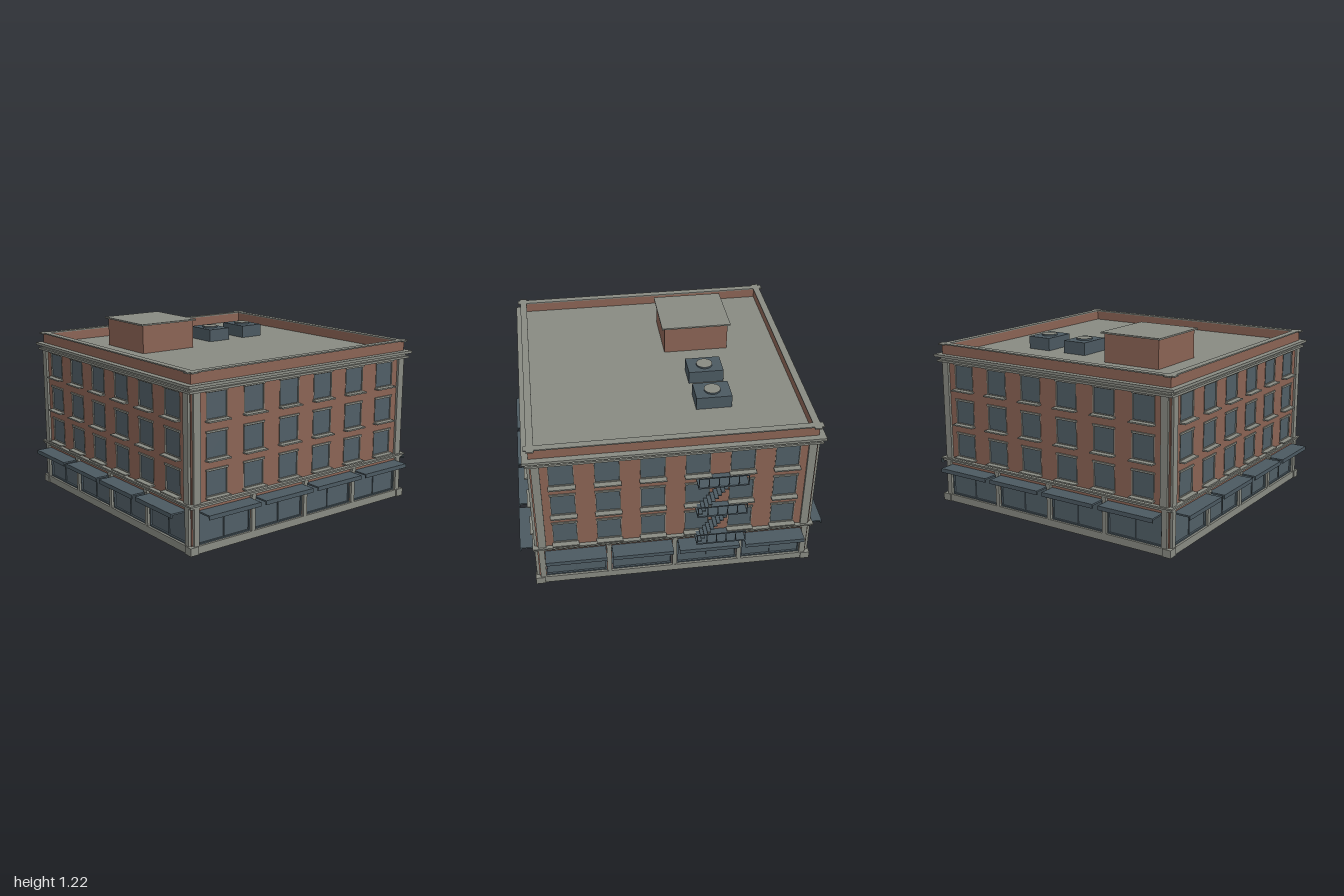
import * as THREE from 'three';

export function createModel() {
  const model = new THREE.Group();
  model.name = 'cornerBuilding';

  const mat = (name, color) => {
    const m = new THREE.MeshStandardMaterial({ color });
    m.name = name;
    return m;
  };
  const brick = mat('brick', 0x8a6354);
  const stone = mat('stone', 0x888a82);
  const glass = mat('glass', 0x505e66);
  const metal = mat('slateMetal', 0x4b5961);

  const add = (parent, name, geo, material, x = 0, y = 0, z = 0) => {
    const mesh = new THREE.Mesh(geo, material);
    mesh.name = name;
    mesh.position.set(x, y, z);
    parent.add(mesh);
    return mesh;
  };
  // Box given by its minimum and maximum on each axis
  const span = (parent, name, material, x0, x1, y0, y1, z0, z1) =>
    add(parent, name, new THREE.BoxGeometry(x1 - x0, y1 - y0, z1 - z0), material,
      (x0 + x1) / 2, (y0 + y1) / 2, (z0 + z1) / 2);

  const shell = new THREE.Group();
  shell.name = 'shell';
  shell.position.x = -0.0075;
  model.add(shell);

  const WALL = 0.883;
  const windowRows = [[0.33, 0.49], [0.56, 0.72], [0.795, 0.96]];
  const windowXs = [-2.5, -1.5, -0.5, 0.5, 1.5, 2.5].map(i => i * 0.2795);
  const bayXs = [-1.5, -0.5, 0.5, 1.5].map(i => i * 0.427);
  const winHalf = 0.078, shopHalf = 0.196, shopY = [0.048, 0.258];

  const rectPath = (p, x0, x1, y0, y1) => {
    p.moveTo(x0, y0);
    p.lineTo(x1, y0);
    p.lineTo(x1, y1);
    p.lineTo(x0, y1);
    p.closePath();
    return p;
  };
  // Thin rectangular frame around an opening
  const frame = (parent, name, material, x, half, y0, y1, width, z0, z1) => {
    const shape = rectPath(new THREE.Shape(), -half, half, y0, y1);
    shape.holes.push(rectPath(new THREE.Path(), -half + width, half - width, y0 + width, y1 - width));
    add(parent, name, new THREE.ExtrudeGeometry(shape, { depth: z1 - z0, bevelEnabled: false }), material, x, 0, z0);
  };

  // Brick wall with openings, shared by all four sides
  const wallShape = rectPath(new THREE.Shape(), -WALL, WALL, 0.03, 1.005);
  for (const x of windowXs)
    for (const [y0, y1] of windowRows)
      wallShape.holes.push(rectPath(new THREE.Path(), x - winHalf, x + winHalf, y0, y1));
  for (const x of bayXs)
    wallShape.holes.push(rectPath(new THREE.Path(), x - shopHalf, x + shopHalf, ...shopY));
  const wallGeo = new THREE.ExtrudeGeometry(wallShape, { depth: 0.03, bevelEnabled: false });

  function buildSide(name, angle) {
    const side = new THREE.Group();
    side.name = name;
    side.rotation.y = angle;
    shell.add(side);
    add(side, 'brickWall', wallGeo, brick, 0, 0, WALL - 0.03);

    // Upper windows with frames, sills and lintels
    for (const x of windowXs) {
      for (const [y0, y1] of windowRows) {
        span(side, 'windowPane', glass, x - winHalf, x + winHalf, y0, y1, WALL - 0.013, WALL - 0.005);
        frame(side, 'windowFrame', stone, x, winHalf, y0, y1, 0.005, WALL - 0.008, WALL + 0.003);
        span(side, 'windowSill', stone, x - 0.084, x + 0.084, y0 - 0.01, y0 - 0.001, WALL - 0.02, 0.921);
        span(side, 'windowLintel', stone, x - 0.081, x + 0.081, y1 - 0.002, y1 + 0.01, WALL - 0.02, 0.892);
      }
    }

    // Shop fronts with flat canopies
    for (const x of bayXs) {
      span(side, 'shopGlass', glass, x - shopHalf, x + shopHalf, ...shopY, WALL - 0.018, WALL - 0.01);
      frame(side, 'shopFrame', metal, x, shopHalf, ...shopY, 0.008, WALL - 0.012, WALL + 0.002);
      span(side, 'shopMullion', metal, x - 0.003, x + 0.003, ...shopY, WALL - 0.01, WALL - 0.004);
      span(side, 'canopy', metal, x - 0.194, x + 0.194, 0.251, 0.261, WALL - 0.01, 0.9925);
      span(side, 'canopyValance', metal, x - 0.194, x + 0.194, 0.234, 0.251, 0.9845, 0.9925);
    }

    // Piers between the shops
    for (const i of [-1, 0, 1]) {
      const x = i * 0.427;
      span(side, 'shopPier', stone, x - 0.0145, x + 0.0145, 0.04, 0.285, WALL - 0.02, 0.899);
      span(side, 'pierCapital', stone, x - 0.0175, x + 0.0175, 0.265, 0.285, WALL - 0.02, 0.904);
    }

    // Pilasters beside each corner, leaving a narrow brick edge between them
    for (const s of [-1, 1]) {
      add(side, 'cornerPilaster', new THREE.BoxGeometry(0.05, 0.69, 0.04), stone, s * 0.849, 0.64, 0.878);
      add(side, 'cornerPier', new THREE.BoxGeometry(0.037, 0.25, 0.04), stone, s * 0.8565, 0.165, 0.88);
    }

    // Parapet and its coping, which runs past the corners
    span(side, 'parapet', brick, -WALL, WALL, 1.0, 1.083, 0.85, WALL);
    span(side, 'parapetCoping', stone, -0.908, 0.908, 1.083, 1.091, 0.845, 0.89);
  }
  ['front', 'left', 'back', 'right'].forEach((name, i) => buildSide(name + 'Side', i * Math.PI / 2));

  // Corner foot blocks
  for (const sx of [-1, 1])
    for (const sz of [-1, 1])
      add(shell, 'cornerBlock', new THREE.BoxGeometry(0.06, 0.05, 0.06), stone, sx * 0.878, 0.025, sz * 0.878);

  // Full slabs and bands around the building
  const band = (name, half, y0, y1) => span(shell, name, stone, -half, half, y0, y1, -half, half);
  band('plinth', 0.9, 0, 0.048);
  band('shopCornice', 0.902, 0.283, 0.297);
  band('shopCorniceTop', 0.91, 0.297, 0.307);
  band('lowerCornice', 0.91, 0.97, 0.984);
  band('frieze', 0.893, 0.984, 1.003);
  band('upperCornice', 0.923, 1.003, 1.02);

  // Stair house on the roof
  span(model, 'roofHouse', brick, -0.578, -0.175, 1.01, 1.206, -0.512, -0.078);
  span(model, 'roofHouseCap', stone, -0.595, -0.16, 1.206, 1.216, -0.53, -0.06);

  // Roof ventilation units, each with a slate ring and a pale disc on top
  for (const x of [0.137, 0.431]) {
    span(model, 'ventUnit', metal, x - 0.084, x + 0.084, 1.01, 1.104, -0.413, -0.184);
    add(model, 'ventFan', new THREE.CylinderGeometry(0.053, 0.053, 0.012, 20), [metal, stone, metal], x, 1.109, -0.298);
  }

  // Fire escape on the left (+x) side
  const escape = new THREE.Group();
  escape.name = 'fireEscape';
  model.add(escape);
  const zA = -0.437, zB = -0.123;
  const levels = [0.316, 0.547, 0.78];
  levels.forEach((y, level) => {
    span(escape, 'platform', metal, 0.872, 0.997, y - 0.005, y + 0.005, zA, zB);
    span(escape, 'handrail', metal, 0.993, 0.999, y + 0.071, y + 0.077, zA, zB);
    for (let i = 0; i <= 5; i++) {
      const z = THREE.MathUtils.lerp(zA + 0.003, zB - 0.003, i / 5);
      span(escape, 'railPost', metal, 0.9935, 0.9985, y, y + 0.073, z - 0.0025, z + 0.0025);
    }
    if (level === levels.length - 1) return;
    // Open treads up to the next platform
    const count = 10, rise = (levels[level + 1] - y) / count;
    for (let i = 0; i < count; i++) {
      const z = -0.145 - i * 0.0195, ty = y + (i + 0.5) * rise;
      span(escape, 'stairTread', metal, 0.893, 0.983, ty - 0.003, ty + 0.003, z - 0.012, z + 0.012);
    }
  });

  return model;
}
